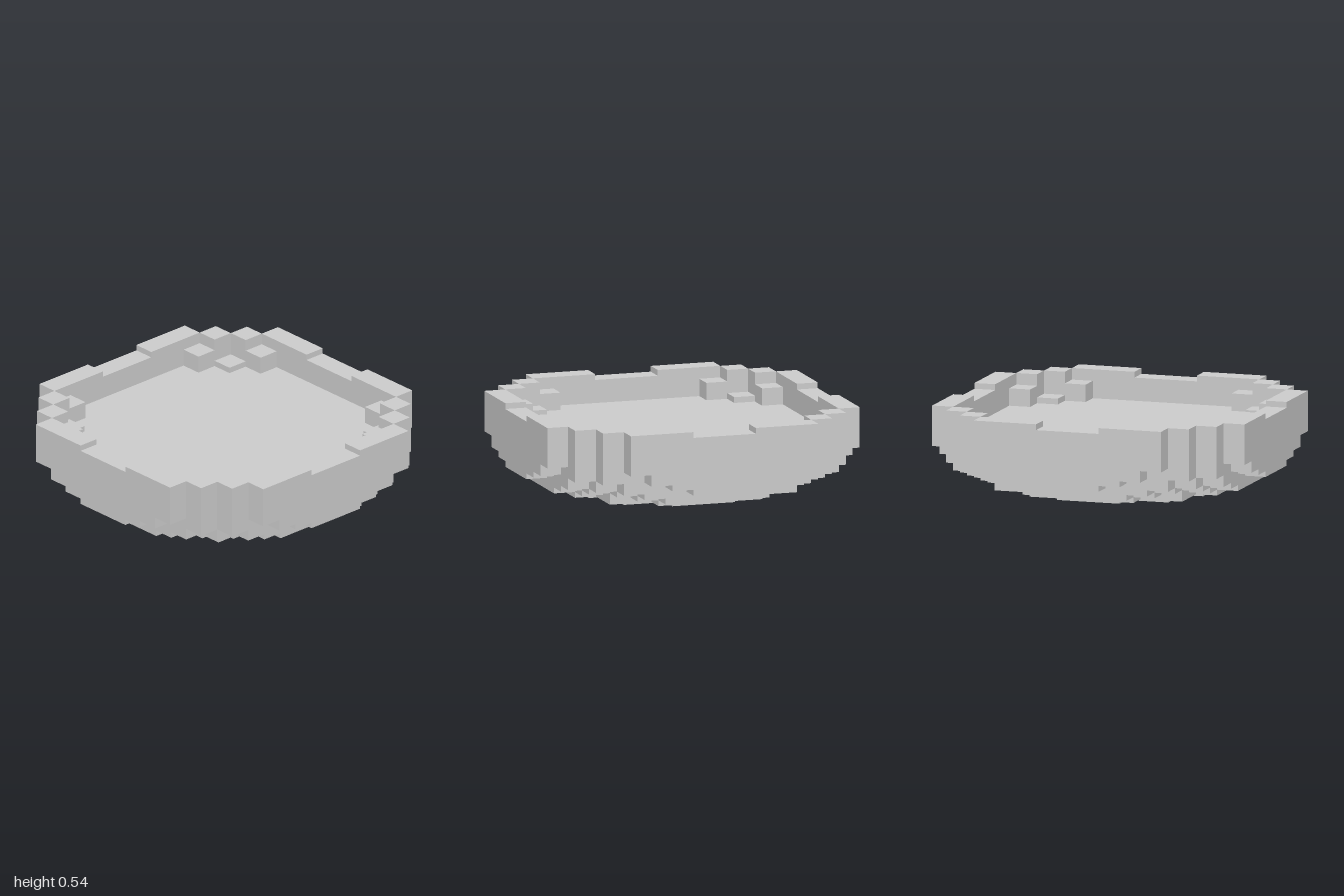
import * as THREE from 'three';

const CELL = 2 / 15;        // block width
const LAYER = 0.536 / 15;   // block height

const material = new THREE.MeshStandardMaterial({ color: 0xcccccc, flatShading: true });

// Stepped disc outline: all blocks (i, j) with i² + j² <= limit, at most 7 from the centre
function discShape(limit) {
  const reach = j => (j <= 7 && j * j <= limit ? Math.min(7, Math.floor(Math.sqrt(limit - j * j))) : -1);
  const quarter = [];
  for (let j = 0; reach(j) >= 0; j++) {
    const here = reach(j), next = reach(j + 1);
    if (here === next) continue;
    quarter.push([here + 0.5, j + 0.5]);
    if (next >= 0) quarter.push([next + 0.5, j + 0.5]);
  }
  const points = [];
  for (let q = 0; q < 4; q++) {
    for (let [x, y] of quarter) {
      for (let r = 0; r < q; r++) [x, y] = [-y, x];
      points.push(new THREE.Vector2(x * CELL, y * CELL));
    }
  }
  return new THREE.Shape(points);
}

// Box given by block ranges (x, z) and layer range (y)
function blockBox(name, x0, x1, y0, y1, z0, z1) {
  const geometry = new THREE.BoxGeometry((x1 - x0) * CELL, (y1 - y0) * LAYER, (z1 - z0) * CELL);
  geometry.translate((x0 + x1) / 2 * CELL, (y0 + y1) / 2 * LAYER, (z0 + z1) / 2 * CELL);
  const mesh = new THREE.Mesh(geometry, material);
  mesh.name = name;
  return mesh;
}

export function createModel() {
  const model = new THREE.Group();
  model.name = 'blockBowl';

  // Rounded underside up to the flat floor: [first layer, end layer, squared radius]
  const plates = [
    [0, 1, 19], [1, 2, 33], [2, 3, 40], [3, 4, 48], [4, 5, 52],
    [5, 6, 57], [6, 8, 62], [8, 10, 66],
  ];
  for (const [from, to, limit] of plates) {
    const geometry = new THREE.ExtrudeGeometry(discShape(limit), {
      depth: (to - from) * LAYER, bevelEnabled: false,
    });
    geometry.rotateX(-Math.PI / 2);
    geometry.translate(0, from * LAYER, 0);
    const plate = new THREE.Mesh(geometry, material);
    plate.name = to === 10 ? 'floorPlate' : 'undersidePlate';
    model.add(plate);
  }

  // Four identical sides, each with a wall and one corner
  for (let q = 0; q < 4; q++) {
    const side = new THREE.Group();
    side.name = 'rimSide';
    side.rotation.y = q * Math.PI / 2;
    side.add(
      // Wall with a shallow notch in the middle of its top
      blockBox('wall', -4.5, 4.5, 10, 14, 6.5, 7.5),
      blockBox('wallCap', -4.5, -1.5, 14, 15, 6.5, 7.5),
      blockBox('wallCap', 1.5, 4.5, 14, 15, 6.5, 7.5),
      // Corner posts with lower ledges and a small step inside
      blockBox('cornerPost', 4.5, 5.5, 10, 15, 5.5, 6.5),
      blockBox('cornerPost', 5.5, 6.5, 10, 15, 4.5, 5.5),
      blockBox('cornerLedge', 3.5, 4.5, 10, 13, 5.5, 6.5),
      blockBox('cornerLedge', 5.5, 6.5, 10, 13, 3.5, 4.5),
      blockBox('cornerStep', 4.5, 5.5, 10, 11, 4.5, 5.5),
    );
    model.add(side);
  }
  return model;
}
